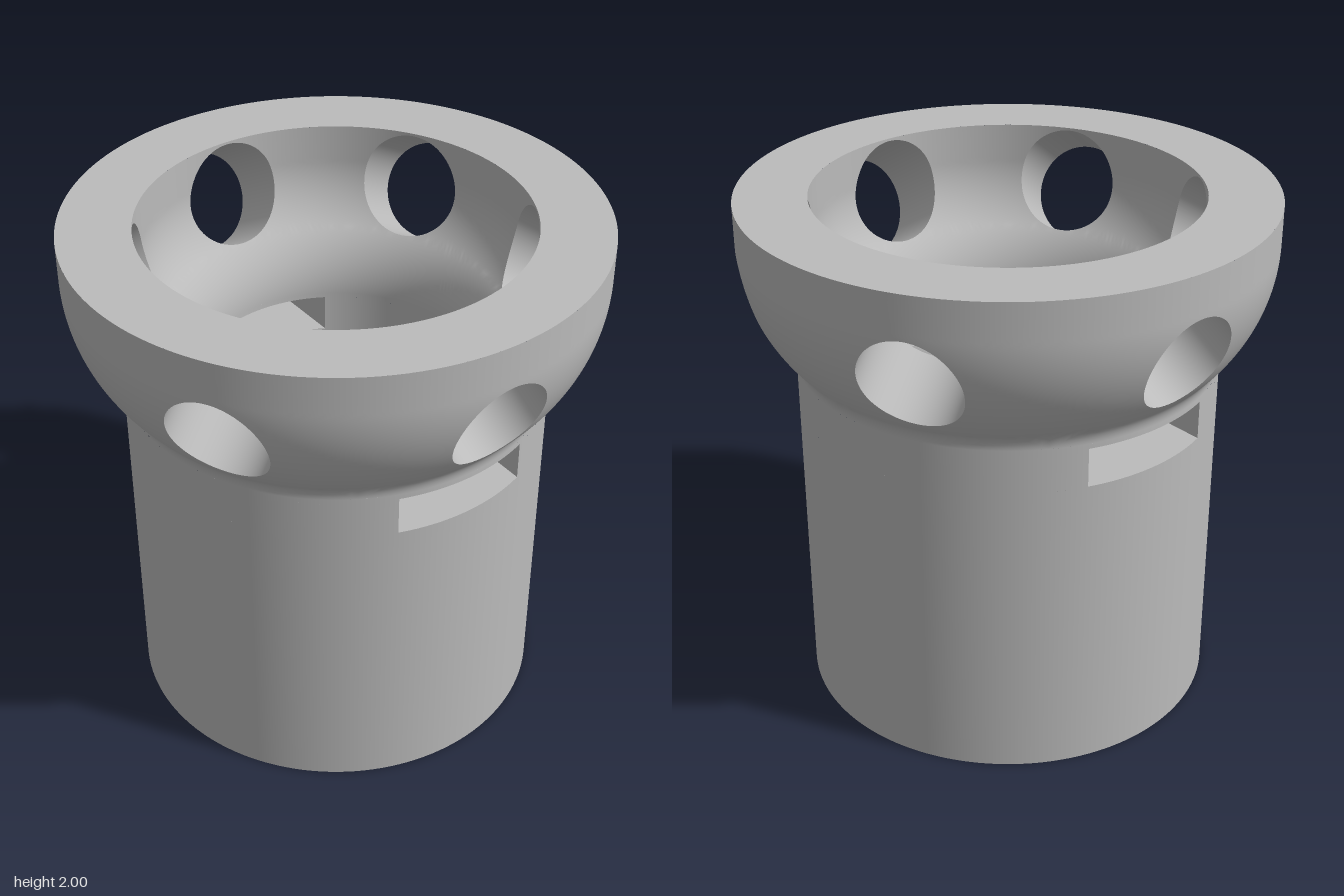
import * as THREE from 'three';

const TAU = Math.PI * 2;
const BODY_R = 0.8, BORE_R = 0.53, NECK_Y = 1.36, TOP_Y = 2;
const SLOT = { half: 0.27, low: 1.19, high: 1.34 };
const PORT = { r: 0.192, y: 1.655, z: 0.92, tilt: Math.PI / 6 };

// Flared cup: a bulge arc (radius R) blended into the neck by a fillet (radius f)
const OUTER = { R: 0.624, f: 0.093 }, INNER = { R: 0.354, f: 0.363 };
function radiusAt(y, { R, f }) {
  if (y >= 1.85) return 0.37 + R;
  if (y > 1.85 - R * 0.683) return 0.37 + Math.sqrt(R * R - (1.85 - y) ** 2);
  return 0.893 - Math.sqrt(f * f - Math.max(0, y - NECK_Y) ** 2);
}

// Point and normal on a cup wall at angle a and height y
function wallPoint(a, y, wall, side) {
  const r = radiusAt(y, wall), e = 0.002;
  const slope = (radiusAt(y + e, wall) - radiusAt(y - e, wall)) / (2 * e);
  const n = new THREE.Vector3(Math.sin(a), -slope, Math.cos(a)).normalize().multiplyScalar(side);
  return [new THREE.Vector3(r * Math.sin(a), y, r * Math.cos(a)), n];
}

// Point on the tilted round port where it meets a cup wall, found by bisection
const inward = new THREE.Vector3(0, Math.sin(PORT.tilt), -Math.cos(PORT.tilt));
const across = new THREE.Vector3(1, 0, 0);
const upward = new THREE.Vector3(0, Math.cos(PORT.tilt), Math.sin(PORT.tilt));
const radial = (phi) => across.clone().multiplyScalar(Math.cos(phi)).addScaledVector(upward, Math.sin(phi));
function portRim(phi, wall) {
  const start = new THREE.Vector3(0, PORT.y, PORT.z).addScaledVector(radial(phi), PORT.r);
  let [lo, hi] = wall === OUTER ? [-0.3, 0.2] : [0, 0.6];
  const p = new THREE.Vector3();
  for (let i = 0; i < 40; i++) {
    const t = (lo + hi) / 2;
    p.copy(start).addScaledVector(inward, t);
    if (Math.hypot(p.x, p.z) > radiusAt(p.y, wall)) lo = t; else hi = t;
  }
  return p;
}

// Smooth grid closed around its columns; fn gives [point, normal]
function loopGrid(rows, cols, flip, fn) {
  const pos = [], nor = [], index = [];
  for (let k = 0; k <= rows; k++) {
    for (let j = 0; j <= cols; j++) {
      const [p, n] = fn(k / rows, (j / cols) * TAU);
      pos.push(p.x, p.y, p.z);
      nor.push(n.x, n.y, n.z);
      if (k < rows && j < cols) {
        const a = k * (cols + 1) + j, b = a + cols + 1;
        if (flip) index.push(a, b + 1, b, a, a + 1, b + 1);
        else index.push(a, b, b + 1, a, b + 1, a + 1);
      }
    }
  }
  const g = new THREE.BufferGeometry();
  g.setAttribute('position', new THREE.Float32BufferAttribute(pos, 3));
  g.setAttribute('normal', new THREE.Float32BufferAttribute(nor, 3));
  g.setIndex(index);
  return g;
}

// One sixth of a cup wall, spread from the port rim to the sector border
function cupSector(wall, side) {
  const midY = (NECK_Y + TOP_Y) / 2, halfY = (TOP_Y - NECK_Y) / 2;
  return loopGrid(12, 96, side < 0, (k, phi) => {
    const rim = portRim(phi, wall), c = Math.cos(phi), s = Math.sin(phi);
    const m = Math.max(Math.abs(c), Math.abs(s));
    const a = THREE.MathUtils.lerp(Math.atan2(rim.x, rim.z), (c / m) * Math.PI / 6, k);
    const y = THREE.MathUtils.lerp(rim.y, midY + (s / m) * halfY, k);
    return wallPoint(a, y, wall, side);
  });
}

// Straight wall of the body; side -1 faces the bore
function tubeWall(r, y0, y1, side, start = 0, sweep = TAU) {
  const pts = [new THREE.Vector2(r, y0), new THREE.Vector2(r, y1)];
  if (side < 0) pts.reverse();
  return new THREE.LatheGeometry(pts, Math.round((144 * sweep) / TAU), start, sweep);
}

export function createModel() {
  const model = new THREE.Group();
  const grey = new THREE.MeshStandardMaterial({ color: 0xbbbbbb });
  grey.name = 'grey';
  const add = (parent, name, geometry) => {
    const mesh = new THREE.Mesh(geometry, grey);
    mesh.name = name;
    parent.add(mesh);
    return mesh;
  };

  // Body walls, left open where the front and back slots pass through
  for (const [name, r, side] of [['bodyOuterWall', BODY_R, 1], ['boreWall', BORE_R, -1]]) {
    const gap = Math.asin(SLOT.half / r);
    add(model, name, tubeWall(r, 0, SLOT.low, side));
    add(model, name + 'Collar', tubeWall(r, SLOT.high, NECK_Y, side));
    for (const start of [gap, Math.PI + gap]) {
      add(model, name + 'SlotBand', tubeWall(r, SLOT.low, SLOT.high, side, start, Math.PI - 2 * gap));
    }
  }

  // Flat ends
  add(model, 'bottomRing', new THREE.RingGeometry(BORE_R, BODY_R, 144).rotateX(Math.PI / 2));
  add(model, 'topRim', new THREE.RingGeometry(0.37 + INNER.R, 0.37 + OUTER.R, 144)
    .rotateX(-Math.PI / 2).translate(0, TOP_Y, 0));

  // Slot faces, front and back
  const gapOut = Math.asin(SLOT.half / BODY_R), gapIn = Math.asin(SLOT.half / BORE_R);
  const section = new THREE.Shape();
  section.absarc(0, 0, BODY_R, Math.PI / 2 - gapOut, Math.PI / 2 + gapOut, false);
  section.absarc(0, 0, BORE_R, Math.PI / 2 + gapIn, Math.PI / 2 - gapIn, true);
  const zOut = BODY_R * Math.cos(gapOut), zIn = BORE_R * Math.cos(gapIn);
  for (const turn of [0, Math.PI]) {
    const slot = new THREE.Group();
    slot.name = turn ? 'backSlot' : 'frontSlot';
    slot.rotation.y = turn;
    add(slot, 'slotCeiling', new THREE.ShapeGeometry(section, 24)
      .rotateX(Math.PI / 2).translate(0, SLOT.high, 0));
    add(slot, 'slotFloor', new THREE.ShapeGeometry(section, 24)
      .rotateX(-Math.PI / 2).rotateY(Math.PI).translate(0, SLOT.low, 0));
    for (const s of [-1, 1]) {
      add(slot, 'slotEnd', new THREE.PlaneGeometry(zOut - zIn, SLOT.high - SLOT.low)
        .rotateY(-s * Math.PI / 2)
        .translate(s * SLOT.half, (SLOT.low + SLOT.high) / 2, (zOut + zIn) / 2));
    }
    model.add(slot);
  }

  // Flared cup with six tilted round ports
  const outer = cupSector(OUTER, 1), inner = cupSector(INNER, -1);
  const bore = loopGrid(1, 96, true, (k, phi) =>
    [portRim(phi, k ? INNER : OUTER), radial(phi).negate()]);
  for (let i = 0; i < 6; i++) {
    const sector = new THREE.Group();
    sector.name = 'cupSector';
    sector.rotation.y = (i * TAU) / 6;
    add(sector, 'cupOuterWall', outer);
    add(sector, 'cupInnerWall', inner);
    add(sector, 'portBore', bore);
    model.add(sector);
  }
  return model;
}
